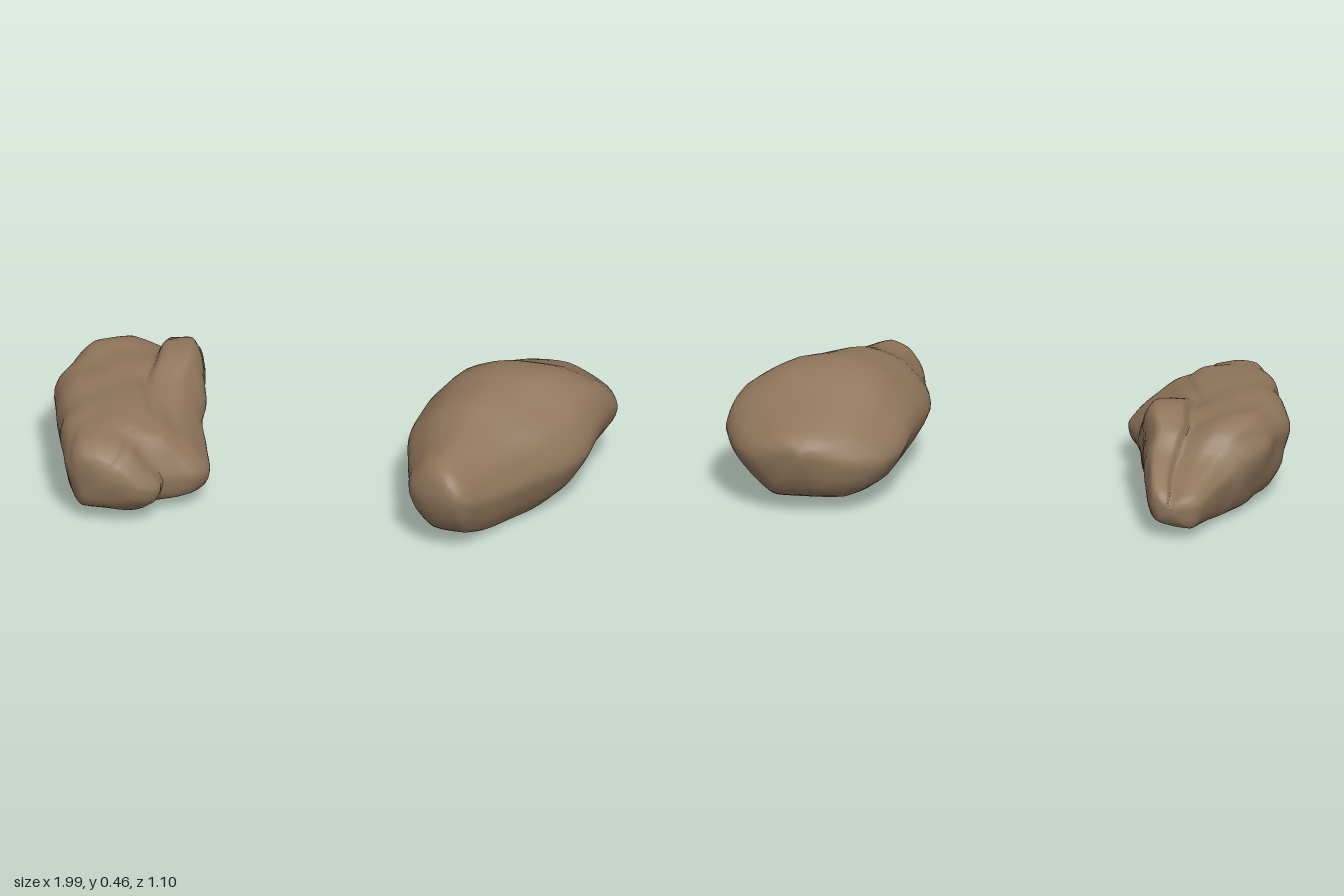
import * as THREE from 'three';
import { toCreasedNormals } from 'three/addons/utils/BufferGeometryUtils.js';

// Smooth closed outline from normalised points: u across (0..1), v up (0..1)
const outline = (pts) =>
  new THREE.CatmullRomCurve3(pts.map(([u, v]) => new THREE.Vector3(u, v, 0)), true, 'catmullrom', 0.35);

// Loft a stone along z. Each section is [z, xMin, xMax, yMin, yMax];
// the outline changes from the back profile to the front one over the blend range.
function stone({ sections, back, front, blend, around, along, bump, crease }) {
  const curve = (f) => new THREE.CatmullRomCurve3(sections.map(f), false, 'catmullrom', 0.4);
  const zx = curve(([z, x0, x1]) => new THREE.Vector3(z, x0, x1));
  const yy = curve(([, , , y0, y1]) => new THREE.Vector3(y0, y1, 0));
  const backLine = outline(back), frontLine = outline(front);
  const pos = [], idx = [];

  for (let i = 0; i <= along; i++) {
    const { x: z, y: x0, z: x1 } = zx.getPoint(i / along);
    const { x: y0, y: y1 } = yy.getPoint(i / along);
    const w = THREE.MathUtils.smoothstep(z, ...blend);
    const cx = (x0 + x1) / 2, cy = (y0 + y1) / 2;
    for (let j = 0; j < around; j++) {
      const p = backLine.getPoint(j / around).lerp(frontLine.getPoint(j / around), w);
      const x = x0 + (x1 - x0) * p.x, y = y0 + (y1 - y0) * p.y;
      const r = Math.hypot(x - cx, y - cy) || 1;
      const d = bump(x, y, z) * Math.min(1, r / 0.15);
      pos.push(x + (x - cx) / r * d, y + (y - cy) / r * d, z);
    }
  }
  for (let i = 0; i < along; i++) {
    for (let j = 0; j < around; j++) {
      const k = (j + 1) % around;
      const a = i * around + j, b = i * around + k, c = a + around, d = b + around;
      idx.push(a, c, b, b, c, d);
    }
  }
  // Close both ends on a centre point
  const cap = ([z, x0, x1, y0, y1], s) => {
    pos.push((x0 + x1) / 2, (y0 + y1) / 2, z + s * 0.006);
    return pos.length / 3 - 1;
  };
  const first = cap(sections[0], -1), last = cap(sections[sections.length - 1], 1);
  for (let j = 0; j < around; j++) {
    const k = (j + 1) % around, e = along * around;
    idx.push(first, j, k, last, e + k, e + j);
  }

  const geo = new THREE.BufferGeometry();
  geo.setAttribute('position', new THREE.Float32BufferAttribute(pos, 3));
  geo.setIndex(idx);
  return toCreasedNormals(geo, crease);
}

export function createModel() {
  const group = new THREE.Group();
  const brown = new THREE.MeshStandardMaterial({ color: 0x8e745a });
  brown.name = 'stone brown';
  const add = (name, opts) => {
    const mesh = new THREE.Mesh(stone(opts), brown);
    mesh.name = name;
    group.add(mesh);
  };

  // Smooth boulder: broad at the back with a high right shoulder, undercut on
  // the +x side, tapering to a blunt nose at the front
  add('smoothBoulder', {
    sections: [
      [-0.534, 0.65, 0.74, 0.2, 0.265], [-0.5, 0.53, 0.87, 0.1, 0.3],
      [-0.43, 0.42, 0.94, 0.05, 0.335], [-0.3, 0.36, 1.0, 0.02, 0.4],
      [-0.2, 0.345, 0.99, 0.01, 0.455], [-0.1, 0.33, 0.97, 0.004, 0.473],
      [0, 0.32, 0.95, 0.004, 0.45], [0.1, 0.32, 0.89, 0.008, 0.43],
      [0.2, 0.34, 0.8, 0.015, 0.395], [0.3, 0.37, 0.73, 0.03, 0.368],
      [0.4, 0.39, 0.665, 0.065, 0.35], [0.45, 0.435, 0.64, 0.11, 0.328],
      [0.48, 0.49, 0.615, 0.16, 0.295], [0.494, 0.53, 0.595, 0.2, 0.265],
    ],
    back: [
      [0, 0.46], [0.03, 0.62], [0.19, 0.86], [0.42, 0.98], [0.7, 0.98], [0.94, 0.8],
      [1, 0.62], [0.97, 0.45], [0.84, 0.18], [0.74, 0.02], [0.62, 0], [0.27, 0.02], [0.09, 0.2],
    ],
    front: [
      [0, 0.48], [0.03, 0.66], [0.19, 0.9], [0.42, 1], [0.66, 0.93], [0.87, 0.75],
      [0.98, 0.55], [1, 0.42], [0.91, 0.18], [0.79, 0.02], [0.68, 0], [0.32, 0.03], [0.09, 0.25],
    ],
    blend: [-0.25, 0.1], around: 39, along: 30, crease: 0.75,
    bump: (x, y, z) => 0.004 * Math.sin(13 * x + 9 * z) * Math.sin(17 * y - 11 * z + 1),
  });

  // Craggy rock: a raised slab beside a cleft, with a low tail at the back
  add('craggyRock', {
    sections: [
      [-0.544, -0.71, -0.6, 0.07, 0.15], [-0.52, -0.75, -0.575, 0.045, 0.18],
      [-0.45, -0.78, -0.55, 0.03, 0.225], [-0.36, -0.83, -0.53, 0.025, 0.28],
      [-0.3, -0.89, -0.525, 0.02, 0.35], [-0.2, -0.95, -0.49, 0.015, 0.39],
      [-0.1, -0.97, -0.47, 0.012, 0.39], [0, -0.995, -0.46, 0.012, 0.375],
      [0.1, -0.97, -0.43, 0.012, 0.365], [0.2, -0.945, -0.39, 0.012, 0.355],
      [0.27, -0.92, -0.375, 0.012, 0.35], [0.34, -0.9, -0.41, 0.015, 0.345],
      [0.4, -0.88, -0.51, 0.025, 0.335], [0.47, -0.85, -0.51, 0.045, 0.315],
      [0.525, -0.81, -0.57, 0.09, 0.28], [0.544, -0.75, -0.64, 0.15, 0.24],
    ],
    back: [
      [0, 0.6], [0.04, 0.75], [0.14, 0.89], [0.35, 0.91], [0.55, 0.84], [0.62, 0.83], [0.68, 0.96],
      [0.9, 1], [0.97, 0.83], [1, 0.5], [0.93, 0.15], [0.7, 0.02], [0.22, 0], [0.08, 0.2],
    ],
    front: [
      [0, 0.62], [0.05, 0.85], [0.15, 0.97], [0.35, 1], [0.55, 0.95], [0.62, 0.88], [0.7, 0.82],
      [0.82, 0.68], [0.94, 0.5], [1, 0.36], [0.94, 0.15], [0.65, 0.03], [0.16, 0], [0.05, 0.25],
    ],
    blend: [-0.2, 0.25], around: 56, along: 50, crease: 0.7,
    // Broad lumps plus a few grooves running mostly lengthwise
    bump: (x, y, z) =>
      0.006 * Math.sin(17 * x + 10 * z + 1) * Math.sin(20 * y - 13 * z) +
      0.009 * (Math.abs(Math.sin(9 * x + 11 * y + 4 * z + Math.sin(9 * z + 6 * y))) - 0.7) +
      0.004 * Math.sin(27 * z + 16 * y) * Math.cos(30 * x - 15 * y),
  });

  return group;
}
